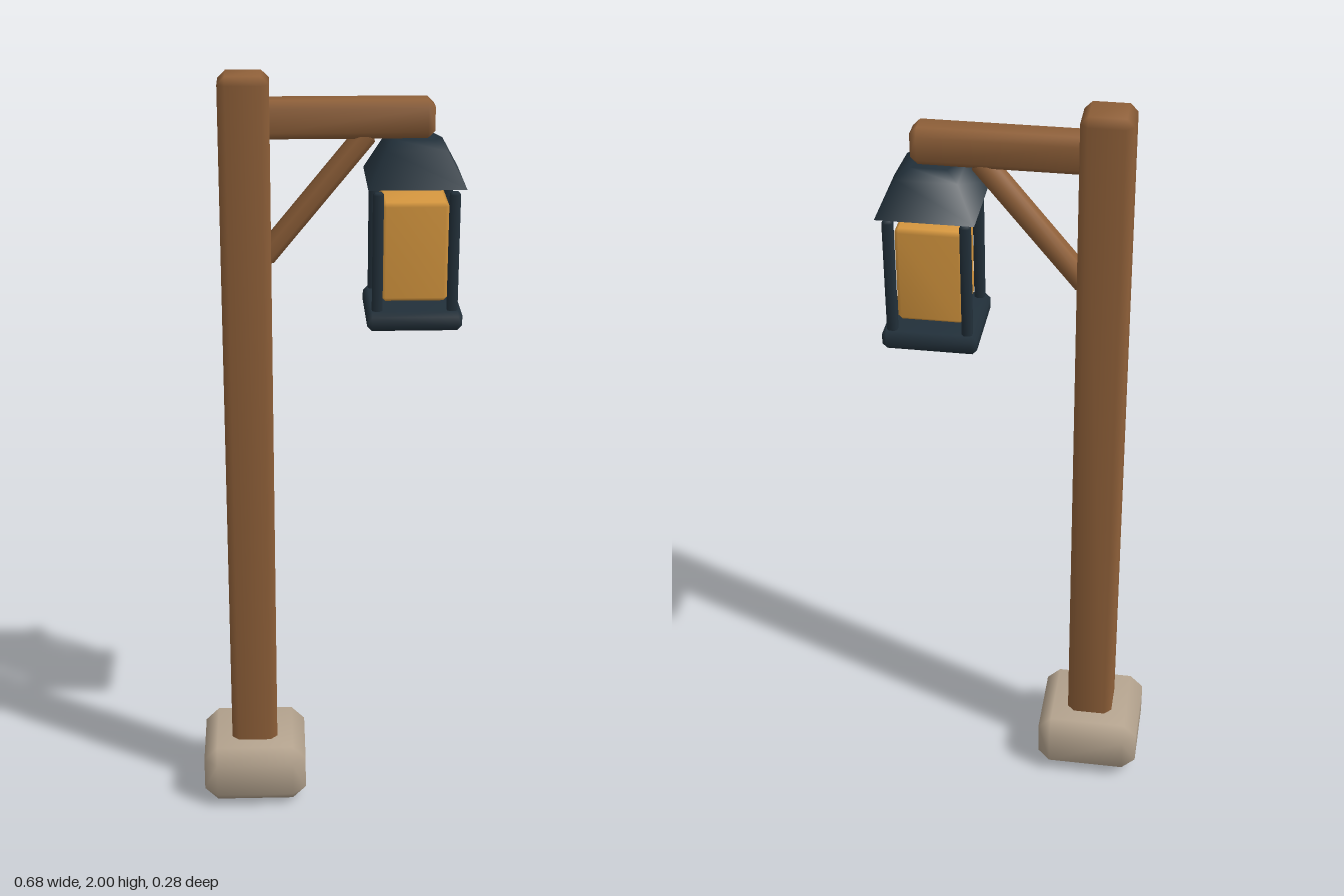
import * as THREE from 'three';
import { mergeVertices } from 'three/addons/utils/BufferGeometryUtils.js';
import { ConvexGeometry } from 'three/addons/geometries/ConvexGeometry.js';

// Box with single-cut chamfers and softly blended normals
function chamferBox(w, h, d, c) {
  const half = [w / 2, h / 2, d / 2];
  const points = [];
  for (const sx of [-1, 1]) for (const sy of [-1, 1]) for (const sz of [-1, 1]) {
    for (let axis = 0; axis < 3; axis++) {
      const p = half.map((v, i) => (i === axis ? v : v - c));
      points.push(new THREE.Vector3(p[0] * sx, p[1] * sy, p[2] * sz));
    }
  }
  const hull = new ConvexGeometry(points);
  hull.deleteAttribute('normal');
  const smooth = mergeVertices(hull, 1e-5);
  smooth.computeVertexNormals();
  return smooth;
}

export function createModel() {
  const material = (name, color) => {
    const m = new THREE.MeshStandardMaterial({ color });
    m.name = name;
    return m;
  };
  const wood = material('wood', 0x8f6039);
  const stone = material('stone', 0xb5a48f);
  const iron = material('dark iron', 0x22303a);
  const glass = material('amber glass', 0xd6973f);

  const model = new THREE.Group();
  model.name = 'lampPost';

  function add(parent, name, geometry, mat, x, y, z = 0) {
    const mesh = new THREE.Mesh(geometry, mat);
    mesh.name = name;
    mesh.position.set(x, y, z);
    parent.add(mesh);
    return mesh;
  }

  // Stone foot and timber frame
  const postX = -0.198;
  add(model, 'foot', chamferBox(0.28, 0.165, 0.28, 0.036), stone, postX, 0.0875);
  add(model, 'post', chamferBox(0.125, 2, 0.125, 0.019), wood, postX, 1);
  add(model, 'arm', chamferBox(0.435, 0.094, 0.084, 0.018), wood, 0.0475, 1.892);
  const brace = add(model, 'brace', chamferBox(0.42, 0.052, 0.06, 0.014), wood, -0.025, 1.7);
  brace.rotation.z = Math.atan2(0.28, 0.23);

  // Hanging lantern
  const lantern = new THREE.Group();
  lantern.name = 'lantern';
  lantern.position.set(0.218, 0, 0);
  model.add(lantern);

  add(lantern, 'lanternBase', chamferBox(0.236, 0.05, 0.236, 0.012), iron, 0, 1.407);
  add(lantern, 'lanternGlass', chamferBox(0.164, 0.25, 0.164, 0.01), glass, 0, 1.574);
  for (const sx of [-1, 1]) for (const sz of [-1, 1]) {
    add(lantern, 'lanternBar', chamferBox(0.026, 0.33, 0.026, 0.006), iron, sx * 0.093, 1.565, sz * 0.093);
  }

  // Four-sided roof from a half-width and height profile
  const profile = [[0, 1.741], [0.119, 1.741], [0.119, 1.741], [0.074, 1.825], [0.044, 1.845], [0, 1.847]]
    .map(([half, y]) => new THREE.Vector2(half * Math.SQRT2, y));
  add(lantern, 'lanternRoof', new THREE.LatheGeometry(profile, 4, Math.PI / 4), iron, 0, 0);

  return model;
}
